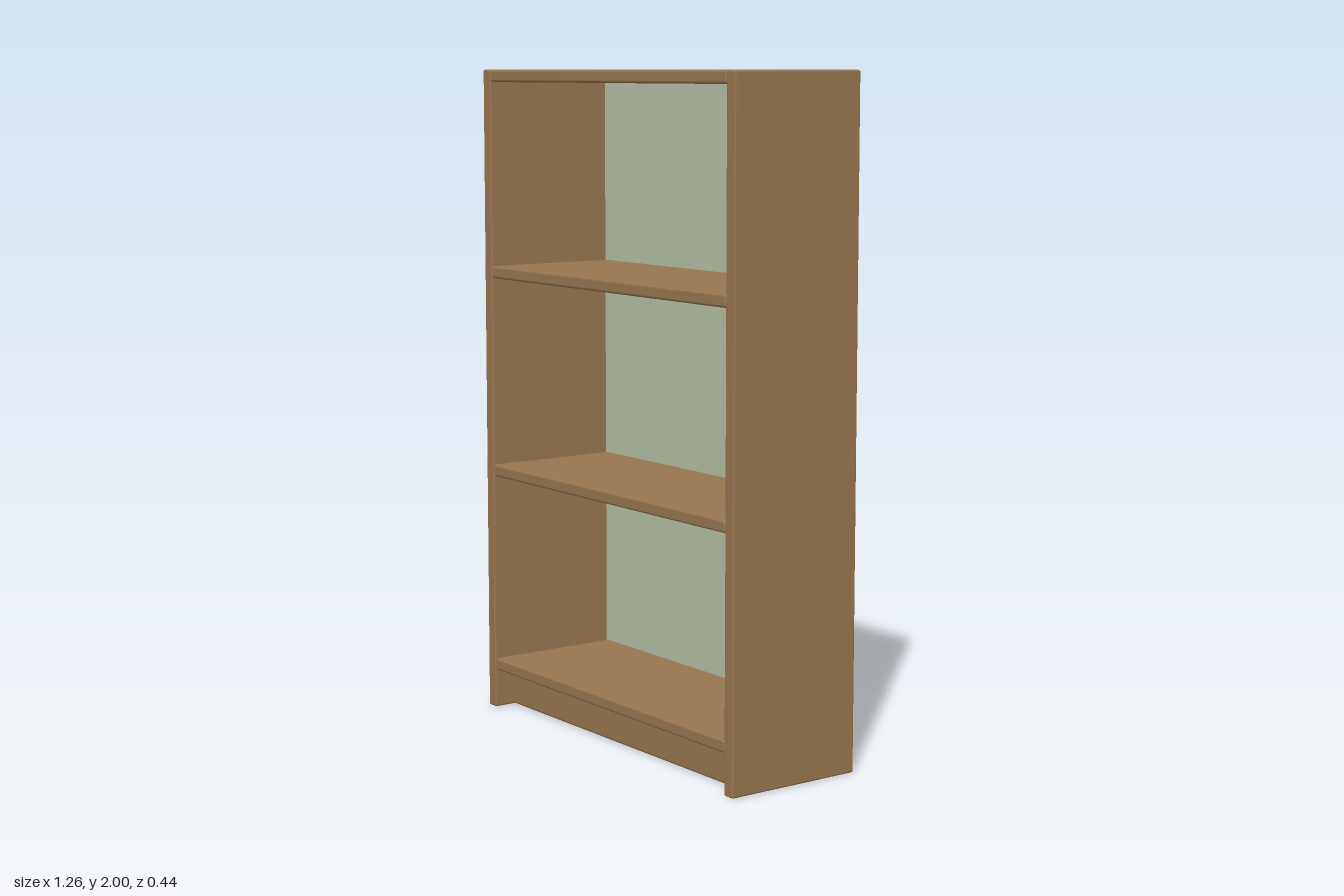
import * as THREE from 'three';
import { RoundedBoxGeometry } from 'three/addons/geometries/RoundedBoxGeometry.js';

export function createModel() {
  const group = new THREE.Group();
  group.name = 'bookcase';

  const wood = new THREE.MeshStandardMaterial({ color: 0x96744f });
  wood.name = 'brown wood';
  const sage = new THREE.MeshStandardMaterial({ color: 0xb1bea2 });
  sage.name = 'sage green';

  const add = (name, geometry, material, x, y, z) => {
    const mesh = new THREE.Mesh(geometry, material);
    mesh.name = name;
    mesh.position.set(x, y, z);
    group.add(mesh);
  };
  const board = (w, h, d, bevel) => new RoundedBoxGeometry(w, h, d, 2, bevel);

  // upright side panels
  for (const [name, s] of [['leftSide', 1], ['rightSide', -1]]) {
    add(name, board(0.04, 2, 0.44, 0.006), wood, s * 0.61, 1, 0);
  }

  // top board, two shelves and bottom board
  const levels = { bottomBoard: 0.14, lowerShelf: 0.76, upperShelf: 1.38, topBoard: 1.981 };
  for (const [name, y] of Object.entries(levels)) {
    add(name, board(1.18, 0.038, 0.438, 0.008), wood, 0, y, 0.001);
  }

  // recessed plinth under the bottom board
  add('plinth', board(1.18, 0.122, 0.36, 0.008), wood, 0, 0.061, -0.03);

  // painted back panel
  add('backPanel', new THREE.BoxGeometry(1.18, 1.995, 0.012), sage, 0, 0.9975, -0.214);

  return group;
}
